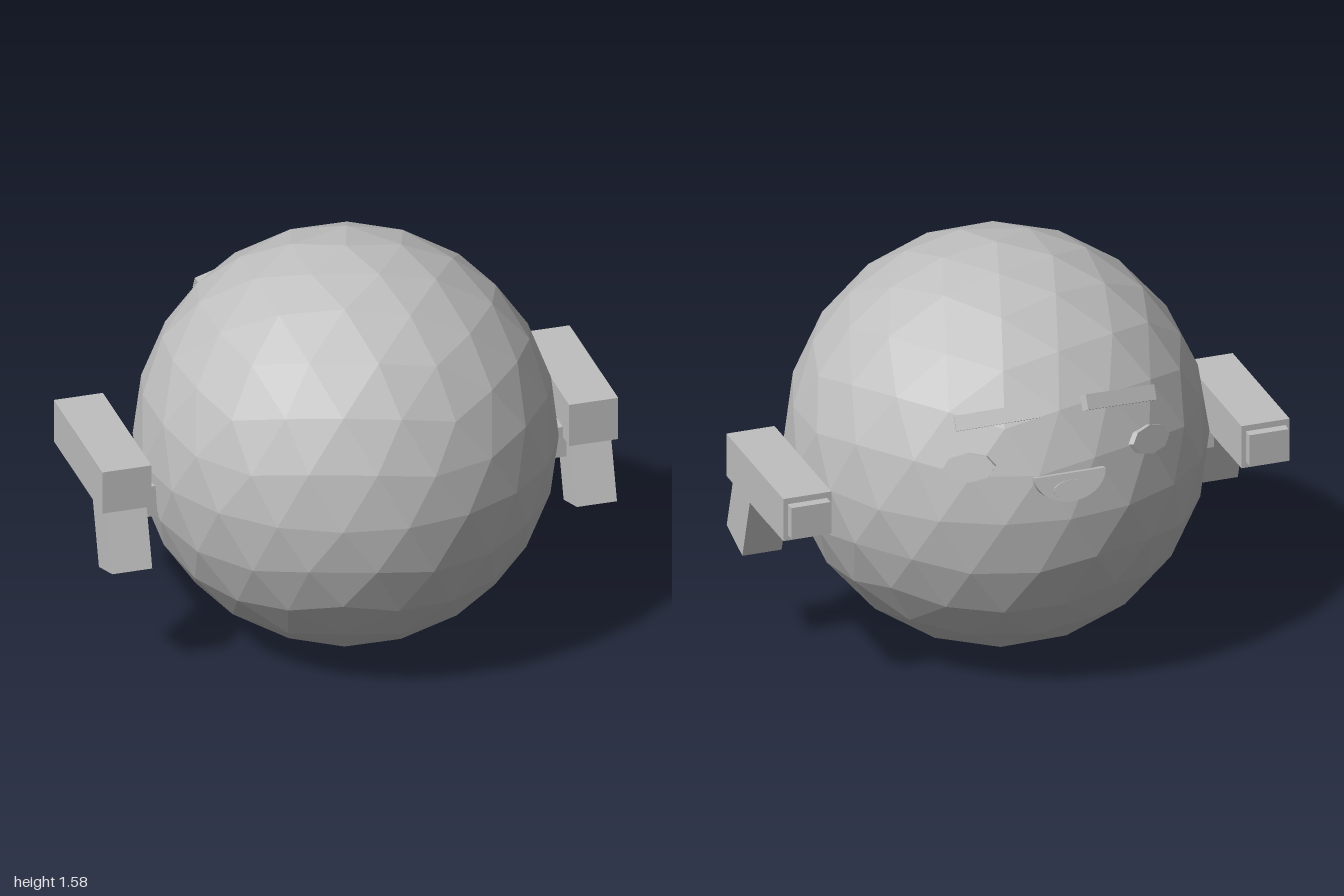
import * as THREE from 'three';

const grey = new THREE.MeshStandardMaterial({ color: 0xbfbfbf, flatShading: true });
grey.name = 'light grey';

function add(parent, name, geometry, x, y, z, rx = 0, ry = 0) {
  const mesh = new THREE.Mesh(geometry, grey);
  mesh.name = name;
  mesh.position.set(x, y, z);
  mesh.rotation.set(rx, ry, 0);
  parent.add(mesh);
  return mesh;
}

// Faceted ball: a pole-up icosahedron with every edge halved twice
function ballGeometry(radius) {
  const verts = [0, 1, 0, 0, -1, 0];
  const h = 1 / Math.sqrt(5);
  const faces = [];
  for (let k = 0; k < 5; k++) {
    const a = (k * 2 * Math.PI) / 5;
    const b = a + Math.PI / 5;
    verts.push(2 * h * Math.cos(a), h, -2 * h * Math.sin(a));
    verts.push(2 * h * Math.cos(b), -h, -2 * h * Math.sin(b));
    const u = 2 + 2 * k, l = u + 1;
    const u2 = 2 + 2 * ((k + 1) % 5), l2 = u2 + 1;
    faces.push(0, u, u2, u, l, u2, l, l2, u2, l2, l, 1);
  }
  const half = new THREE.PolyhedronGeometry(verts, faces, 1, 1);
  const points = Array.from(half.attributes.position.array);
  const order = Array.from({ length: points.length / 3 }, (_, i) => i);
  const ball = new THREE.PolyhedronGeometry(points, order, radius, 1);
  ball.computeVertexNormals();
  return ball;
}

// Half disc with its straight edge on top, facing -z
function halfDisc(rx, ry, depth, segments) {
  const shape = new THREE.Shape();
  shape.absellipse(0, 0, rx, ry, Math.PI, 2 * Math.PI, false, 0);
  shape.closePath();
  const g = new THREE.ExtrudeGeometry(shape, { depth, bevelEnabled: false, curveSegments: segments });
  return g.translate(0, 0, -depth / 2);
}

export function createModel() {
  const model = new THREE.Group();
  model.name = 'ballCharacter';

  add(model, 'body', ballGeometry(0.788), 0, 0.79, 0.008);

  for (const s of [1, -1]) {
    const side = s > 0 ? 'left' : 'right';

    // Arm stub and blaster
    const gun = new THREE.Group();
    gun.name = side + 'Blaster';
    model.add(gun);
    const x = s * 0.904;
    add(gun, 'arm', new THREE.BoxGeometry(0.16, 0.125, 0.15), s * 0.76, 0.682, 0.035);
    add(gun, 'barrel', new THREE.BoxGeometry(0.19, 0.172, 0.605), x, 0.79, -0.113);
    add(gun, 'muzzle', new THREE.BoxGeometry(0.155, 0.125, 0.06), x, 0.79, -0.423);
    add(gun, 'handle', new THREE.BoxGeometry(0.155, 0.36, 0.174), s * 0.9, 0.62, 0.106, -0.305);
    add(gun, 'trigger', new THREE.BoxGeometry(0.09, 0.058, 0.14), x, 0.664, -0.055);

    // Eye and eyebrow lying on the ball
    const eyeShape = new THREE.CylinderGeometry(0.1, 0.1, 0.025, 8);
    eyeShape.rotateX(Math.PI / 2).scale(1, 0.55, 1);
    add(model, side + 'Eye', eyeShape, s * 0.355, 1.005, -0.655, 0.26, s * -0.49);
    add(model, side + 'Eyebrow', new THREE.BoxGeometry(0.312, 0.058, 0.038),
      s * 0.24, 1.186, -0.638, 0.49, s * -0.29);
  }

  // Mouth with a slightly raised tongue
  const mouth = add(model, 'mouth', halfDisc(0.14, 0.108, 0.03, 10), 0, 0.973, -0.757, 0.225);
  const tongueShape = new THREE.CylinderGeometry(0.07, 0.07, 0.008, 16);
  tongueShape.rotateX(Math.PI / 2).scale(1, 0.5, 1);
  add(mouth, 'tongue', tongueShape, 0, -0.06, -0.015);

  return model;
}
